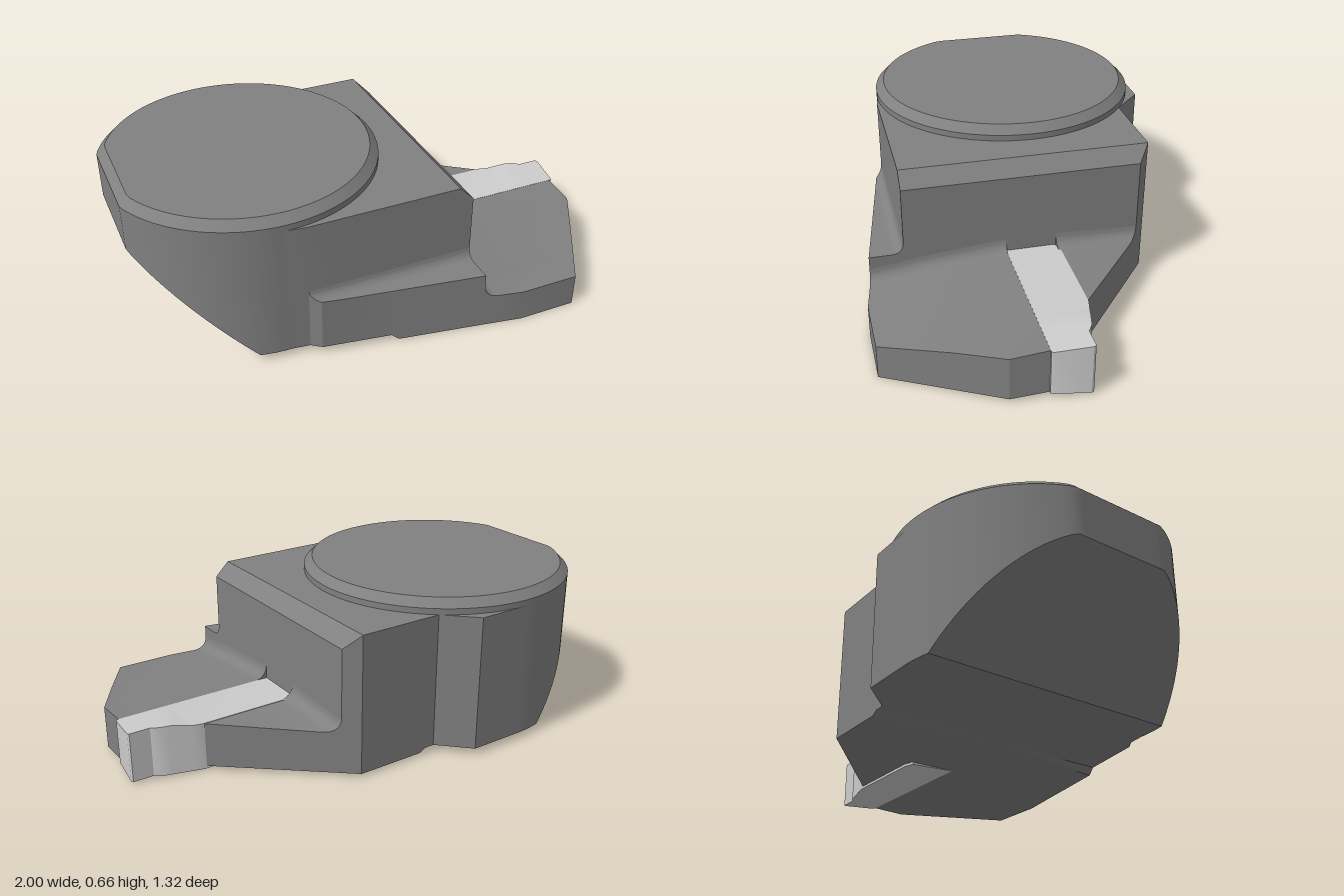
import * as THREE from 'three';
import { mergeGeometries, toCreasedNormals } from 'three/addons/utils/BufferGeometryUtils.js';

const steel = new THREE.MeshStandardMaterial({ color: 0x808080 });
const carbide = new THREE.MeshStandardMaterial({ color: 0xcccccc });
const { clamp, lerp } = THREE.MathUtils;

// piecewise linear curve through [t, value] pairs
function curve(points, t) {
  for (let i = 1; i < points.length; i++) {
    const [a, va] = points[i - 1], [b, vb] = points[i];
    if (t <= b || i === points.length - 1) return lerp(va, vb, clamp((t - a) / (b - a), 0, 1));
  }
}

// keep the part of an outline on one side of a line x = c (axis 0) or z = c (axis 1)
function clip(outline, axis, c, sign) {
  const out = [];
  outline.forEach((p, i) => {
    const q = outline[(i + 1) % outline.length];
    const dp = (p[axis] - c) * sign, dq = (q[axis] - c) * sign;
    if (dp >= 0) out.push(p);
    if (dp * dq < 0) {
      const t = dp / (dp - dq);
      out.push([lerp(p[0], q[0], t), lerp(p[1], q[1], t)]);
    }
  });
  return out.filter((p, i) => {
    const q = out[(i + 1) % out.length];
    return Math.hypot(p[0] - q[0], p[1] - q[1]) > 1e-5;
  });
}

// split outlines at the fold lines so that every cell has flat caps
function split(cells, axis, cuts) {
  const bounds = [-9, ...cuts, 9];
  return cells.flatMap(cell => bounds.slice(1).map((b, i) =>
    clip(clip(cell, axis, bounds[i], 1), axis, b, -1)))
    .filter(cell => {
      const area = cell.reduce((s, p, i) => {
        const q = cell[(i + 1) % cell.length];
        return s + p[0] * q[1] - q[0] * p[1];
      }, 0);
      return cell.length > 2 && Math.abs(area) > 1e-6;
    });
}

// upright solid over an (x, z) outline, with height rules for its top and bottom
function slab(name, outline, top, bottom, xCuts, zCuts, material) {
  const cells = split(split([outline], 0, xCuts), 1, zCuts);
  const parts = cells.map(cell => {
    const shape = new THREE.Shape(cell.map(([x, z]) => new THREE.Vector2(x, -z)));
    const g = new THREE.ExtrudeGeometry(shape, { depth: 1, bevelEnabled: false });
    g.rotateX(-Math.PI / 2);
    const p = g.attributes.position;
    for (let i = 0; i < p.count; i++) {
      const x = p.getX(i), z = p.getZ(i);
      p.setY(i, p.getY(i) > 0.5 ? top(x, z) : bottom(x, z));
    }
    return g;
  });
  const mesh = new THREE.Mesh(toCreasedNormals(mergeGeometries(parts), 0.45), material);
  mesh.name = name;
  return mesh;
}

const CX = -0.47, CZ = -0.09, R = 0.57;

// underside: sloped heel, flat middle, shallow vee under the plate
const vee = z => curve([[-0.54, 0.014], [0.07, 0.02], [0.66, 0]], z);
const underside = (x, z) => x < -0.6 ? Math.max(0.03, -0.57 - x)
  : lerp(0.03, vee(z), clamp((x + 0.08) / 0.03, 0, 1));
// height of a concave fillet of radius r at distance d from its wall
const fillet = (d, r) => d >= r ? 0 : r - Math.sqrt(r * r - (r - Math.max(d, 0)) ** 2);

// crowned upper face of the plate, blended into the block
const crown = z => curve([[-0.46, 0.19], [-0.3, 0.197], [-0.13, 0.206], [0.07, 0.206],
  [0.2, 0.196], [0.4, 0.178], [0.66, 0.14]], z);
const plateTop = (x, z) => crown(z) + fillet(x - 0.3, 0.055);

export function createModel() {
  const group = new THREE.Group();

  // main block with a rounded, flattened left end and a lug at the back
  const arc = [];
  for (let i = 0; i <= 60; i++) {
    const a = Math.PI / 2 + Math.PI * i / 60;
    arc.push([Math.max(-1, CX + R * Math.cos(a)), CZ + R * Math.sin(a)]);
  }
  const footprint = [...arc, [-0.24, -0.66], [-0.12, -0.54], [0.24, -0.54],
    [0.3, -0.49], [0.3, 0.49], [-0.4, 0.49]];
  group.add(slab('block', footprint, x => 0.6 - Math.max(0, x - 0.24), underside,
    [-0.6, -0.08, -0.05, 0.24], [0.07], steel));

  // round head with a chamfered rim, flattened at the left
  const rim = (rTop, rBottom, y0, y1, minTop) => {
    const g = new THREE.CylinderGeometry(rTop, rBottom, y1 - y0, 120);
    g.translate(CX, (y0 + y1) / 2, CZ);
    const p = g.attributes.position;
    for (let i = 0; i < p.count; i++) {
      p.setX(i, Math.max(p.getX(i), p.getY(i) > (y0 + y1) / 2 ? minTop : -1));
    }
    return g;
  };
  const head = new THREE.Mesh(toCreasedNormals(mergeGeometries([
    rim(R, R, 0.58, 0.625, -1), rim(0.535, R, 0.625, 0.66, -0.965)]), 0.45), steel);
  head.name = 'roundHead';
  group.add(head);

  // ledge along the front of the block
  group.add(slab('frontLedge', [[-0.4, 0.49], [-0.36, 0.52], [0.3, 0.63], [0.3, 0.49]],
    (x, z) => 0.255 + fillet(z - 0.49, 0.045), underside,
    [-0.08, -0.05], [0.493, 0.5, 0.51, 0.52, 0.535], steel));

  // plate in front of and behind the insert
  const xFolds = [0.303, 0.31, 0.32, 0.335, 0.355];
  group.add(slab('frontPlate', [[0.3, 0.07], [0.3, 0.63], [0.47, 0.66], [0.72, 0.66],
    [0.97, 0.22], [0.97, 0.07]], plateTop, underside, xFolds, [0.2, 0.3, 0.4, 0.53], steel));
  group.add(slab('backPlate', [[0.3, -0.14], [0.3, -0.49], [0.71, -0.15], [0.71, -0.14]],
    plateTop, underside, xFolds, [-0.46, -0.3], steel));

  // cutting insert, raised toward its tip
  group.add(slab('cuttingInsert', [[0.3, 0.07], [0.98, 0.07], [0.985, 0.06], [1, -0.08],
    [0.995, -0.09], [0.91, -0.09], [0.88, -0.11], [0.8, -0.13], [0.72, -0.15],
    [0.34, -0.15], [0.3, -0.135]],
    (x, z) => 0.207 + 0.08 * (0.07 - z) * clamp((x - 0.76) / 0.08, 0, 1),
    (x, z) => 0.02 - 0.06 * (0.07 - z), [0.76, 0.84], [], carbide));

  return group;
}
